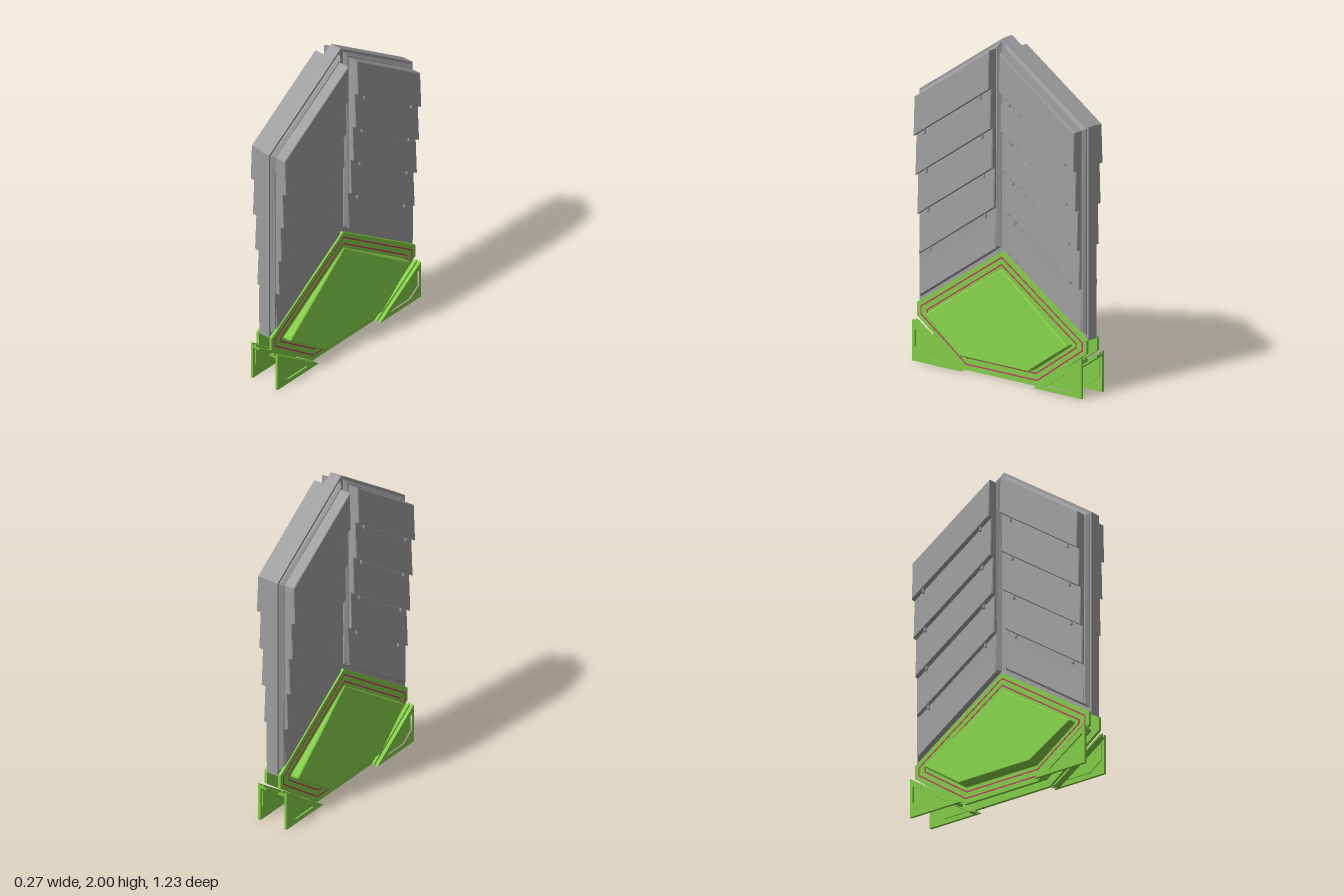
import * as THREE from 'three';

const grey = new THREE.MeshStandardMaterial({ color: 0x9e9e9e });
const green = new THREE.MeshStandardMaterial({ color: 0x82cb48 });
const pink = new THREE.MeshStandardMaterial({ color: 0xc03a66 });

// Plate outlined by [z, y] points, extruded along x from x0 to x1
function plate(name, pts, x0, x1, mat, { hole, bevel = 0, face } = {}) {
  const toVec = (p) => new THREE.Vector2(-p[0], p[1]);
  const shape = new THREE.Shape(pts.map(toVec));
  if (hole) shape.holes.push(new THREE.Path(hole.map(toVec)));
  const geo = new THREE.ExtrudeGeometry(shape, {
    depth: x1 - x0 - bevel, bevelEnabled: bevel > 0, bevelSize: bevel,
    bevelThickness: bevel, bevelOffset: -bevel, bevelSegments: 1,
  });
  geo.rotateY(Math.PI / 2).translate(x0, 0, 0);
  if (face) { // tilt the outer face and its chamfer: x given by a rule of z and y
    const p = geo.attributes.position;
    for (let i = 0; i < p.count; i++) {
      const x = p.getX(i);
      if (x > (x0 + x1) / 2) p.setX(i, x - x1 + face(p.getZ(i), p.getY(i)));
    }
    geo.computeVertexNormals();
  }
  const mesh = new THREE.Mesh(geo, mat);
  mesh.name = name;
  return mesh;
}

// Hexagon symmetric in z: peak, shoulder, lower shoulder, foot
const hexagon = (peak, z, hi, lo, footZ, footY) =>
  [[0, peak], [z, hi], [z, lo], [footZ, footY], [-footZ, footY], [-z, lo], [-z, hi]];

function lowerPanel(g) {
  g.add(plate('lowerPanel', hexagon(0.745, 0.615, 0.335, 0.255, 0.265, 0), 0.038, 0.056, green));
  // Wedge that grows thicker towards its base
  g.add(plate('wedge', hexagon(0.64, 0.512, 0.295, 0.285, 0.25, 0.1), 0.045, 0.1, green,
    { bevel: 0.006, face: (z, y) => 0.062 + (0.635 - y) * 0.134 }));
  // Coloured outline stripes
  const w = 0.008;
  for (const [peak, z, hi, lo, fz, fy] of [
    [0.715, 0.59, 0.317, 0.267, 0.258, 0.03],
    [0.672, 0.545, 0.304, 0.276, 0.252, 0.07],
  ]) {
    g.add(plate('stripe', hexagon(peak, z, hi, lo, fz, fy), 0.05, 0.057, pink,
      { hole: hexagon(peak - w * 1.2, z - w, hi - w * 0.5, lo + w * 0.5, fz - w * 0.3, fy + w) }));
  }
}

function cornerFoot(g, s) {
  const m = (pts) => pts.map(([z, y]) => [s * z, y]);
  const recess = m([[0.597, 0.188], [0.597, 0.085], [0.52, 0.028], [0.355, 0.028]]);
  g.add(plate('footFrame', m([[0.615, 0.24], [0.615, 0], [0.262, 0]]), 0.084, 0.1, green, { hole: recess }));
  g.add(plate('footInset', recess, 0.078, 0.09, green));
  // Sunken wall joining the foot plate to the panel, with a rib along it
  g.add(plate('footWall', m([[0.615, 0.226], [0.615, 0.212], [0.304, 0], [0.283, 0]]), 0.04, 0.09, green));
  g.add(plate('footRib', m([[0.615, 0.24], [0.615, 0.212], [0.304, 0], [0.262, 0]]), 0.06, 0.072, green));
}

function shingles(g, s) {
  const m = (pts) => pts.map(([z, y]) => [s * z, y]);
  const zi = 0.037, zo = 0.582, rise = 0.37;
  g.add(plate('backing', m([[0.018, 0.765], [0.602, 0.365], [0.602, 1.575], [0.018, 1.97]]),
    0.03, 0.06, grey, { bevel: 0.018 }));

  // Overlapping rows, each standing further out than the one below
  const bottoms = [0.385, 0.63, 0.865, 1.1, 1.335, 1.565];
  const outer = [0.066, 0.083, 0.1, 0.116, 0.133];
  outer.forEach((x, i) => {
    const y0 = bottoms[i], y1 = bottoms[i + 1];
    const lineY = (z) => y0 + rise * (zo - Math.abs(z)) / (zo - zi);
    g.add(plate('shingle', m([[zo, y0], [zi, y0 + rise], [zi, y1 + rise], [zo, y1]]), 0.045, 0.1, grey,
      { bevel: 0.005, face: (z, y) => x - 0.008 * (y - lineY(z)) / (y1 - y0) }));
    if (i === 0) return;
    // Small pegs under the lower edge
    for (const z of [0.51, 0.107]) {
      const peg = new THREE.Mesh(new THREE.CapsuleGeometry(0.008, 0.03, 3, 8), grey);
      peg.name = 'peg';
      peg.position.set(x - 0.015, lineY(z) - 0.004, s * z);
      g.add(peg);
    }
  });
}

export function createModel() {
  const model = new THREE.Group();
  // Central slab with a gabled top and a matching notch below
  model.add(plate('core', [[0, 2], [0.615, 1.585], [0.615, 0.33], [0, 0.74], [-0.615, 0.33], [-0.615, 1.585]],
    -0.036, 0.036, grey));
  // Both faces are alike, turned half round
  for (const [name, turn] of [['leftFace', 0], ['rightFace', Math.PI]]) {
    const g = new THREE.Group();
    g.name = name;
    lowerPanel(g);
    for (const s of [1, -1]) {
      cornerFoot(g, s);
      shingles(g, s);
    }
    g.rotation.y = turn;
    model.add(g);
  }
  return model;
}
